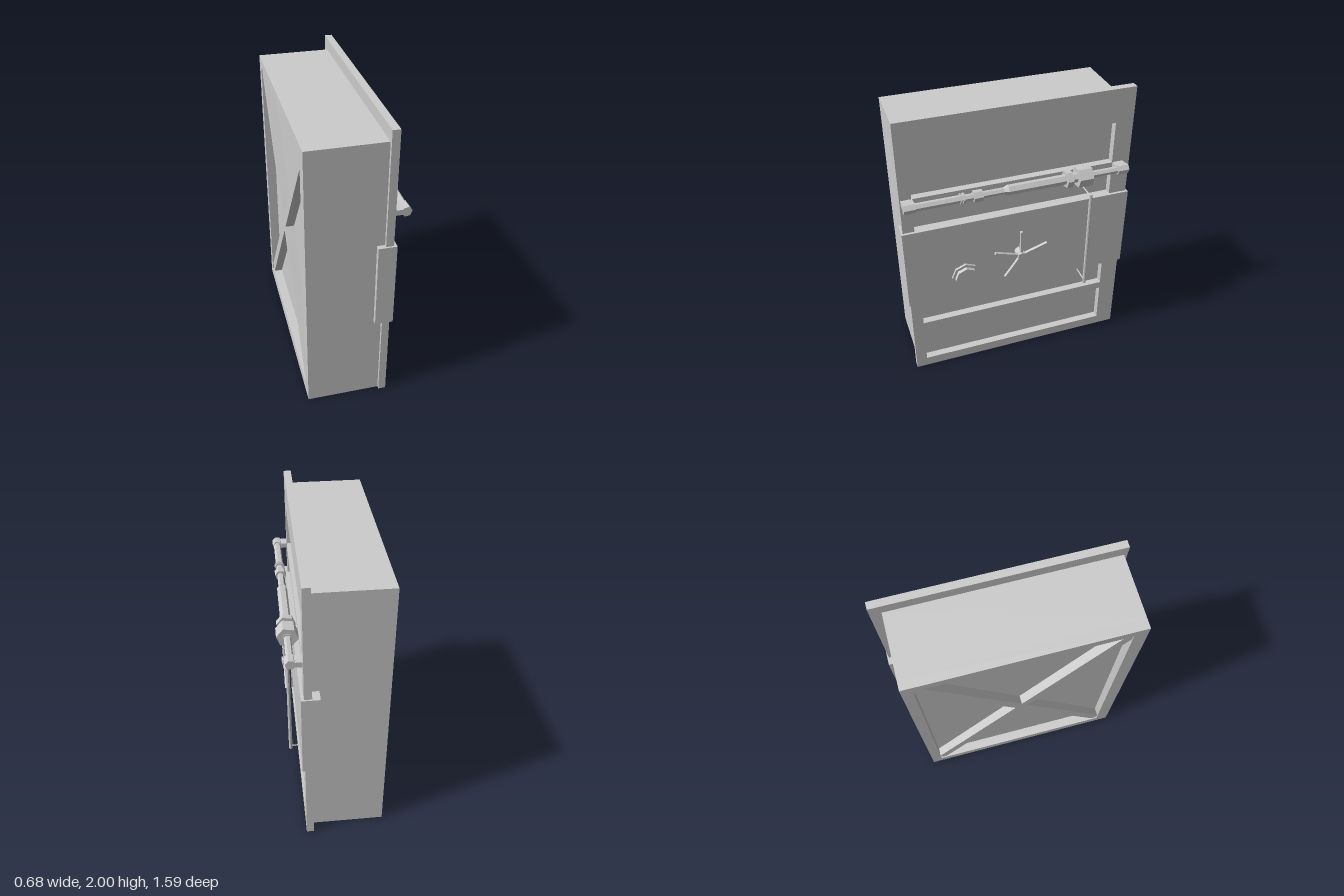
import * as THREE from 'three';

const material = new THREE.MeshStandardMaterial({ color: 0xcccccc, flatShading: true });

function add(parent, name, geometry, x = 0, y = 0, z = 0) {
  const mesh = new THREE.Mesh(geometry, material);
  mesh.name = name;
  mesh.position.set(x, y, z);
  parent.add(mesh);
  return mesh;
}

// Box given by its limits on each axis
function block(parent, name, [x0, x1], [y0, y1], [z0, z1]) {
  return add(parent, name, new THREE.BoxGeometry(x1 - x0, y1 - y0, z1 - z0),
    (x0 + x1) / 2, (y0 + y1) / 2, (z0 + z1) / 2);
}

// Counter-clockwise rectangle in the z-y plane
function outline(Type, [y0, y1], [z0, z1]) {
  return new Type([[-z1, y0], [-z0, y0], [-z0, y1], [-z1, y1]].map(p => new THREE.Vector2(...p)));
}

// Upright slab with rectangular openings, thick along x
function openSlab(parent, name, [x0, x1], ys, zs, openings) {
  const shape = outline(THREE.Shape, ys, zs);
  shape.holes = openings.map(([hy, hz]) => outline(THREE.Path, hy, hz));
  const geometry = new THREE.ExtrudeGeometry(shape, { depth: x1 - x0, bevelEnabled: false });
  geometry.rotateY(Math.PI / 2);
  return add(parent, name, geometry, x0);
}

// Six-sided rod along z, from z0 to z1, turned slightly about its axis
function rodZ(parent, name, x, y, z0, z1, r0, r1 = r0) {
  const geometry = new THREE.CylinderGeometry(r1, r0, z1 - z0, 6);
  geometry.rotateY(0.68).rotateX(Math.PI / 2);
  return add(parent, name, geometry, x, y, (z0 + z1) / 2);
}

// Faceted rod along x, from x0 to x1
function rodX(parent, name, x0, x1, y, z, radius, sides = 8) {
  const geometry = new THREE.CylinderGeometry(radius, radius, x1 - x0, sides);
  geometry.rotateZ(-Math.PI / 2);
  return add(parent, name, geometry, (x0 + x1) / 2, y, z);
}

export function createModel() {
  const model = new THREE.Group();
  model.name = 'vaultDoor';

  // Door body with a framed, cross-braced back
  const bodyY = [0, 1.92], bodyZ = [-0.71, 0.76];
  const openY = [0.075, 1.855], openZ = [-0.64, 0.67];
  block(model, 'body', [-0.275, 0.15], bodyY, bodyZ);
  openSlab(model, 'backFrame', [-0.342, -0.275], bodyY, bodyZ, [[openY, openZ]]);
  const height = openY[1] - openY[0], width = openZ[1] - openZ[0];
  for (const side of [-1, 1]) {
    const brace = add(model, 'backBrace',
      new THREE.BoxGeometry(0.06, Math.hypot(height, width) - 0.03, 0.07),
      -0.305, (openY[0] + openY[1]) / 2, (openZ[0] + openZ[1]) / 2);
    brace.rotation.x = side * Math.atan2(width, height);
  }

  // Face plate with five recessed panels
  const panels = [];
  for (let i = 0; i < 5; i++) {
    const y = 0.07 + i * 0.35;
    panels.push([[y, y + 0.295], [-0.657, 0.706]]);
  }
  openSlab(model, 'facePlate', [0.15, 0.2], [0, 2], [-0.782, 0.782], panels);

  // Wide band wrapped round the plate
  block(model, 'lockBand', [0.1, 0.219], [0.622, 1.223], [-0.793, 0.793]);

  // Locking bar with stepped collars
  const bar = new THREE.Group();
  bar.name = 'lockingBar';
  model.add(bar);
  const bx = 0.27, by = 1.453;
  rodZ(bar, 'thinRod', bx, by, -0.735, 0.775, 0.023);
  rodZ(bar, 'sleeve', bx, by, -0.47, 0.1, 0.034);
  rodZ(bar, 'sleeveTaper', bx, by, 0.1, 0.13, 0.034, 0.023);
  rodZ(bar, 'hub', bx, by, -0.465, -0.37, 0.07);
  rodZ(bar, 'flange', bx, by, -0.33, -0.29, 0.061);
  rodZ(bar, 'collar', bx, by, 0.27, 0.33, 0.039);
  rodZ(bar, 'ring', bx, by, 0.385, 0.4, 0.036);
  rodZ(bar, 'ring', bx, by, 0.408, 0.416, 0.036);
  rodZ(bar, 'endSleeve', bx, by, 0.42, 0.7, 0.026);
  for (const [z0, z1] of [[-0.735, -0.66], [0.7, 0.775]]) {
    rodZ(bar, 'endCap', bx, by, z0, z1, 0.034);
    block(bar, 'endBracket', [0.195, bx], [by - 0.018, by + 0.018], [z0, z1]);
  }

  // Spoked hand wheel
  const wheel = new THREE.Group();
  wheel.name = 'handWheel';
  wheel.position.set(0, 0.911, 0.008);
  model.add(wheel);
  rodX(wheel, 'wheelHub', 0.21, 0.297, 0, 0, 0.03);
  for (let i = 0; i < 5; i++) {
    const spoke = new THREE.CylinderGeometry(0.012, 0.012, 0.195, 6);
    spoke.translate(0, 0.0975, 0);
    add(wheel, 'spoke', spoke, 0.276).rotation.x = i * Math.PI * 2 / 5;
  }

  // Stepped eight-sided dial
  rodX(model, 'dialBase', 0.21, 0.236, 0.795, 0.389, 0.098);
  rodX(model, 'dialFace', 0.236, 0.262, 0.795, 0.389, 0.079);

  // Upright pull handle on two standoffs
  add(model, 'pullHandle', new THREE.CylinderGeometry(0.012, 0.012, 0.768, 8), 0.277, 0.916, -0.482);
  for (const y of [0.554, 1.282]) rodX(model, 'handleStandoff', 0.15, 0.277, y, -0.482, 0.005, 6);

  return model;
}
